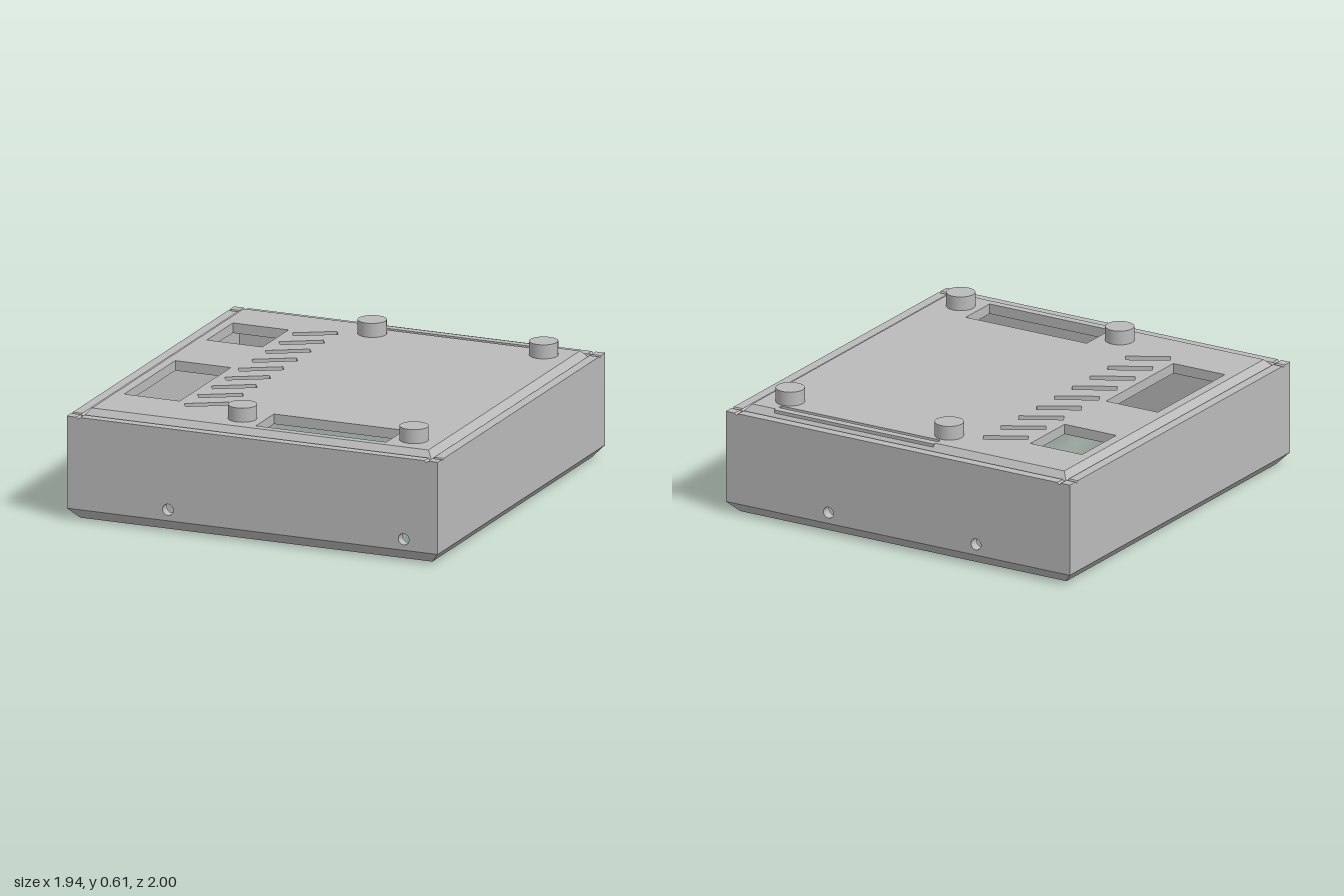
import * as THREE from 'three';

// Half extents: outer wall, inner wall, groove bottom, raised plate
const OUT = [0.968, 1], INN = [0.918, 0.95], GRV = [0.908, 0.938], PLT = [0.878, 0.905];
const RIM = 0.515, DIP = 0.505, TOP = 0.54, CEIL = 0.49, CHAMFER = 0.055;

// Flat-shaded band through nested rectangles, each [half extents, height]
function ringLoft(rings) {
  const corners = [[1, 1], [1, -1], [-1, -1], [-1, 1]];
  const pos = [];
  const at = ([half, y], k) => [corners[k % 4][0] * half[0], y, corners[k % 4][1] * half[1]];
  for (let i = 0; i < rings.length - 1; i++) {
    for (let k = 0; k < 4; k++) {
      const a = at(rings[i], k), b = at(rings[i], k + 1);
      const c = at(rings[i + 1], k + 1), d = at(rings[i + 1], k);
      pos.push(...a, ...b, ...c, ...a, ...c, ...d);
    }
  }
  const geo = new THREE.BufferGeometry();
  geo.setAttribute('position', new THREE.Float32BufferAttribute(pos, 3));
  geo.computeVertexNormals();
  return geo;
}

const polygon = (points) => new THREE.Shape(points.map(([x, y]) => new THREE.Vector2(x, y)));

// Wall outline whose top edge has a V notch near each end
function wallShape(half, axis, holes = []) {
  const n0 = INN[axis], n1 = GRV[axis], n2 = n1 - 0.01;
  const shape = polygon([
    [-half, CHAMFER], [half, CHAMFER], [half, RIM], [n0, RIM], [n1, DIP], [n2, RIM],
    [-n2, RIM], [-n1, DIP], [-n0, RIM], [-half, RIM],
  ]);
  for (const x of holes) {
    shape.holes.push(new THREE.Path().absarc(x, 0.11, 0.028, 0, Math.PI * 2, true));
  }
  return shape;
}

const extrude = (shape, depth) =>
  new THREE.ExtrudeGeometry(shape, { depth, bevelEnabled: false, curveSegments: 16 });

// Rectangular hole with an optional turn
function rectHole(cx, cz, w, d, angle = 0) {
  const c = Math.cos(angle), s = Math.sin(angle);
  return new THREE.Path([[-1, -1], [-1, 1], [1, 1], [1, -1]].map(([i, j]) => {
    const x = i * w / 2, z = j * d / 2;
    return new THREE.Vector2(cx + x * c - z * s, cz + x * s + z * c);
  }));
}

export function createModel() {
  const group = new THREE.Group();
  const grey = new THREE.MeshStandardMaterial({ color: 0xbababa });
  grey.name = 'grey plastic';
  const add = (name, geo, x = 0, y = 0, z = 0) => {
    const mesh = new THREE.Mesh(geo, grey);
    mesh.name = name;
    mesh.position.set(x, y, z);
    group.add(mesh);
    return mesh;
  };

  // Front and back walls with screw holes
  add('frontWall', extrude(wallShape(OUT[0], 0, [-0.44, 0.79]), 0.05), 0, 0, INN[1]);
  add('backWall', extrude(wallShape(OUT[0], 0, [-0.44, 0.39]), 0.05), 0, 0, -OUT[1]);

  // Side walls
  for (const [name, x] of [['leftWall', INN[0]], ['rightWall', -OUT[0]]]) {
    add(name, extrude(wallShape(INN[1], 1), 0.05).rotateY(Math.PI / 2), x);
  }

  // Bevelled lower lip, grooved collar round the plate, and the ceiling edge
  add('lowerLip', ringLoft([[INN, CHAMFER], [INN, 0], [OUT, CHAMFER]]));
  add('grooveCollar', ringLoft([[INN, RIM], [GRV, DIP], [PLT, TOP]]));
  add('ceilingEdge', ringLoft([[PLT, CEIL], [INN, CEIL]]));

  // Top plate with windows, slanted vents and a narrow slit
  const [px, pz] = PLT;
  const plate = polygon([[-px, -pz], [px, -pz], [px, pz], [-px, pz]]);
  plate.holes.push(
    rectHole(-0.685, -0.512, 0.29, 0.31),
    rectHole(-0.685, 0.325, 0.29, 0.61),
    rectHole(0.3, 0.757, 0.68, 0.215),
    rectHole(0.297, -0.868, 0.895, 0.024),
  );
  for (let i = 0; i < 9; i++) {
    plate.holes.push(rectHole(-0.398, -0.662 + i * 0.1613, 0.215, 0.05, -Math.PI / 6));
  }
  add('topPlate', extrude(plate, TOP - CEIL).rotateX(Math.PI / 2), 0, TOP, 0);
  add('slitFloor', new THREE.BoxGeometry(0.895, 0.02, 0.024), 0.297, 0.5, -0.868);
  add('backRib', new THREE.BoxGeometry(0.895, 0.03, 0.02), 0.297, 0.525, -0.91);

  // Four round feet
  for (const x of [-0.15, 0.745]) {
    for (const z of [-0.775, 0.772]) {
      add('foot', new THREE.CylinderGeometry(0.07, 0.07, 0.07, 40), x, TOP + 0.035, z);
    }
  }
  return group;
}
